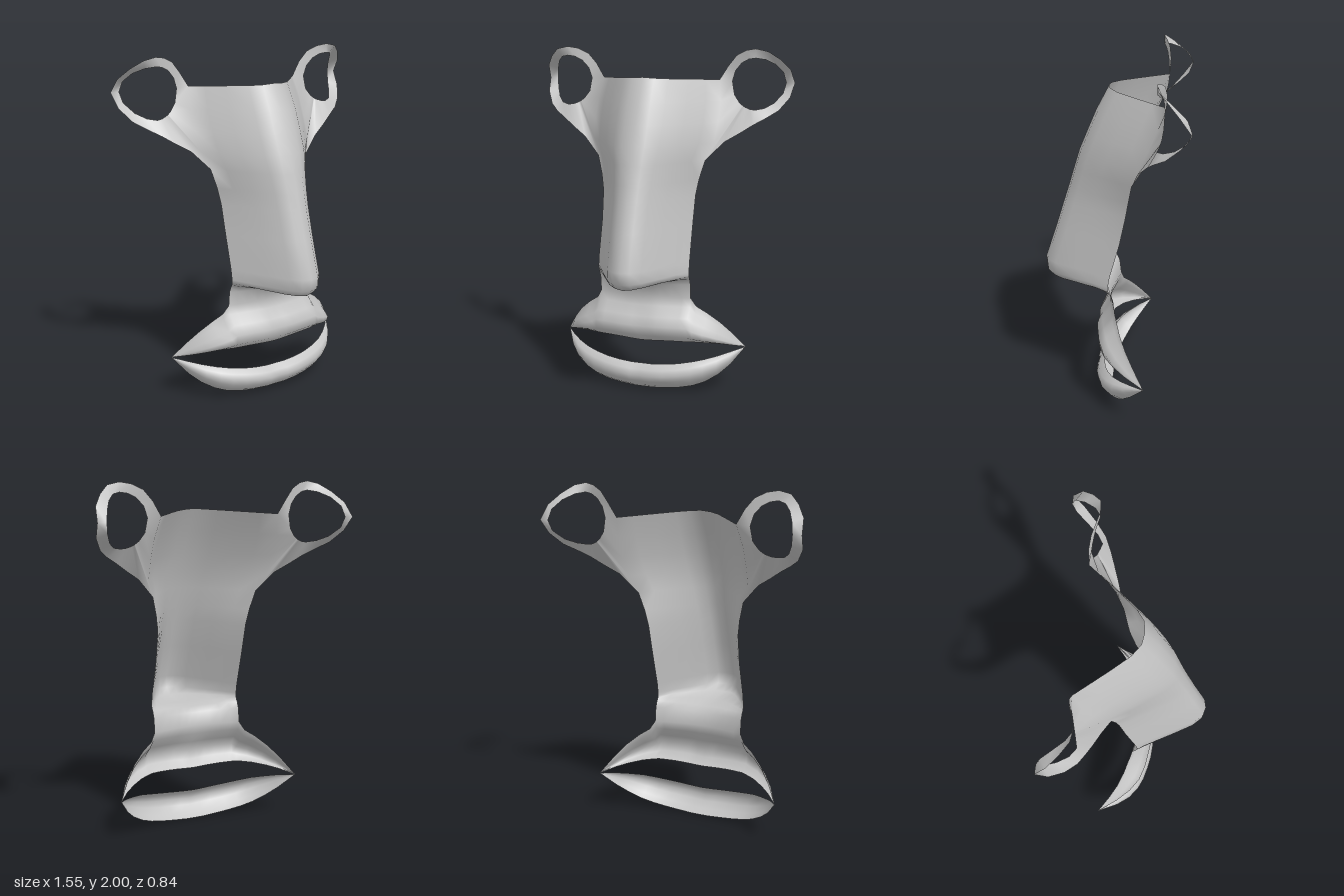
import * as THREE from 'three';
import { mergeGeometries, mergeVertices } from 'three/addons/utils/BufferGeometryUtils.js';

const lerp = THREE.MathUtils.lerp;

// Skin a sheet over rows of [x, y, z] points (top to bottom, -x to +x)
function sheet(rows) {
  const n = rows[0].length, index = [];
  for (let r = 0; r < rows.length - 1; r++) {
    for (let c = 0; c < n - 1; c++) {
      const a = r * n + c, b = a + n;
      index.push(a, b, b + 1, a, b + 1, a + 1);
    }
  }
  const g = new THREE.BufferGeometry();
  g.setAttribute('position', new THREE.Float32BufferAttribute(rows.flat(2), 3));
  g.setIndex(index);
  return g;
}

// Complete a row that starts on the centre line with its mirror image
const mirrorRow = (half) => [...half.slice(1).reverse().map(([x, y, z]) => [-x, y, z]), ...half];
const flipRow = (row) => [...row].reverse().map(([x, y, z]) => [-x, y, z]);

// Weld sheets together and smooth them
function weld(list) {
  const g = mergeVertices(mergeGeometries(list), 1e-4);
  g.computeVertexNormals();
  return g;
}

// Rounded V section of the nose: position across and share of the depth
const ACROSS = [0, 0.18, 0.36, 0.6, 0.82, 1];
const DEPTH = [1, 0.97, 0.83, 0.53, 0.24, 0];

// Nose rows: half width, centre y, edge y, centre z, edge z
const NOSE = [
  [0.36, 1.845, 1.82, 0.04, -0.285],
  [0.38, 1.70, 1.70, 0.115, -0.24],
  [0.38, 1.58, 1.58, 0.165, -0.19],
  [0.37, 1.47, 1.47, 0.21, -0.14],
  [0.33, 1.37, 1.37, 0.24, -0.105],
  [0.30, 1.26, 1.26, 0.272, -0.085],
  [0.285, 1.17, 1.17, 0.30, -0.07],
  [0.28, 1.0, 1.0, 0.352, -0.035],
  [0.28, 0.80, 0.80, 0.417, 0.02],
  [0.28, 0.73, 0.74, 0.41, 0.03],
  [0.28, 0.69, 0.72, 0.37, 0.03],
  [0.28, 0.675, 0.705, 0.22, 0.025],
  [0.28, 0.67, 0.69, 0.10, 0.015],
  [0.28, 0.645, 0.655, 0.05, 0.0],
  [0.28, 0.57, 0.57, 0.03, -0.01],
];
const noseHalf = ([w, yc, ye, zc, ze]) =>
  ACROSS.map((u, i) => [w * u, lerp(yc, ye, u), lerp(ze, zc, DEPTH[i])]);

// Outer rim of the +x eye, clockwise from the top corner of the nose sheet
const EYE_RIM = [
  [0.36, 1.82, -0.285], [0.41, 1.90, -0.29], [0.46, 1.96, -0.28], [0.52, 1.99, -0.26],
  [0.58, 2.0, -0.243], [0.65, 1.985, -0.25], [0.71, 1.94, -0.30], [0.76, 1.88, -0.36],
  [0.775, 1.80, -0.42], [0.76, 1.72, -0.36], [0.71, 1.65, -0.29], [0.65, 1.61, -0.235],
  [0.58, 1.57, -0.20], [0.52, 1.53, -0.175], [0.43, 1.475, -0.14], [0.33, 1.37, -0.105],
  [0.37, 1.47, -0.14], [0.38, 1.58, -0.19], [0.38, 1.70, -0.24], [0.36, 1.82, -0.285],
];
// Matching point on the round eye opening
function eyeHole([x, y]) {
  const a = Math.atan2(y - 1.8, x - 0.58), c = Math.cos(a);
  const z = c > 0 ? -0.245 - 0.175 * Math.pow(c, 1.6) : -0.245 + 0.035 * c;
  return [0.58 + 0.143 * c, 1.8 + 0.147 * Math.sin(a), z];
}

// Lip rows from stations: x, top y, top z, bottom y, bottom z, bulge
function lipRows(stations, profile) {
  return profile.map(([t, b]) => mirrorRow(stations.map(([x, yt, zt, yb, zb, bulge]) =>
    [x, lerp(yt, yb, t), lerp(zt, zb, t) + bulge * b])));
}

export function createModel() {
  const group = new THREE.Group();
  const grey = new THREE.MeshStandardMaterial({ color: 0xc4c4c4, side: THREE.DoubleSide });
  grey.name = 'light grey';

  // Nose, bridge and the strip above the lip
  const nose = sheet(NOSE.map((r) => mirrorRow(noseHalf(r))));

  // Eye rings, one mirrored
  const eyeRows = [EYE_RIM, EYE_RIM.map(eyeHole)];
  const eyes = [sheet(eyeRows), sheet(eyeRows.map(flipRow))];

  // Upper lip, hung from the last nose row and running out to the mouth corners
  const under = noseHalf(NOSE[NOSE.length - 1]);
  const lipBottom = [[0.306, 0.052], [0.308, 0.052], [0.311, 0.05], [0.314, 0.045], [0.315, 0.038], [0.315, 0.03]];
  const lipBulge = [0.058, 0.063, 0.068, 0.068, 0.068, 0.07];
  const upperStations = [
    ...under.map((p, i) => [...p, ...lipBottom[i], lipBulge[i]]),
    [0.31, 0.52, -0.025, 0.313, 0.015, 0.075],
    [0.37, 0.48, -0.045, 0.306, -0.015, 0.08],
    [0.44, 0.42, -0.08, 0.292, -0.065, 0.07],
    [0.50, 0.35, -0.125, 0.275, -0.115, 0.045],
    [0.57, 0.25, -0.19, 0.249, -0.19, 0],
  ];
  const upperLip = sheet(lipRows(upperStations,
    [[0, 0], [0.2, 0.1], [0.42, 0.65], [0.62, 1], [0.84, 0.8], [1, 0]]));

  const upper = new THREE.Mesh(weld([nose, ...eyes, upperLip]), grey);
  upper.name = 'noseEyeRingsAndUpperLip';
  group.add(upper);

  // Lower lip
  const lowerStations = [
    [0, 0.165, 0.06, 0.003, 0.02, 0.062],
    [0.06, 0.166, 0.063, 0.004, 0.02, 0.068],
    [0.14, 0.172, 0.06, 0.01, 0.018, 0.066],
    [0.22, 0.181, 0.048, 0.02, 0.01, 0.062],
    [0.30, 0.194, 0.025, 0.036, -0.005, 0.062],
    [0.37, 0.208, -0.005, 0.062, -0.03, 0.062],
    [0.44, 0.222, -0.055, 0.104, -0.065, 0.058],
    [0.50, 0.236, -0.11, 0.158, -0.112, 0.04],
    [0.57, 0.25, -0.19, 0.249, -0.19, 0],
  ];
  const lower = new THREE.Mesh(weld([sheet(lipRows(lowerStations,
    [[0, 0], [0.18, 0.7], [0.4, 1], [0.62, 0.95], [0.84, 0.55], [1, 0]]))]), grey);
  lower.name = 'lowerLip';
  group.add(lower);

  return group;
}
